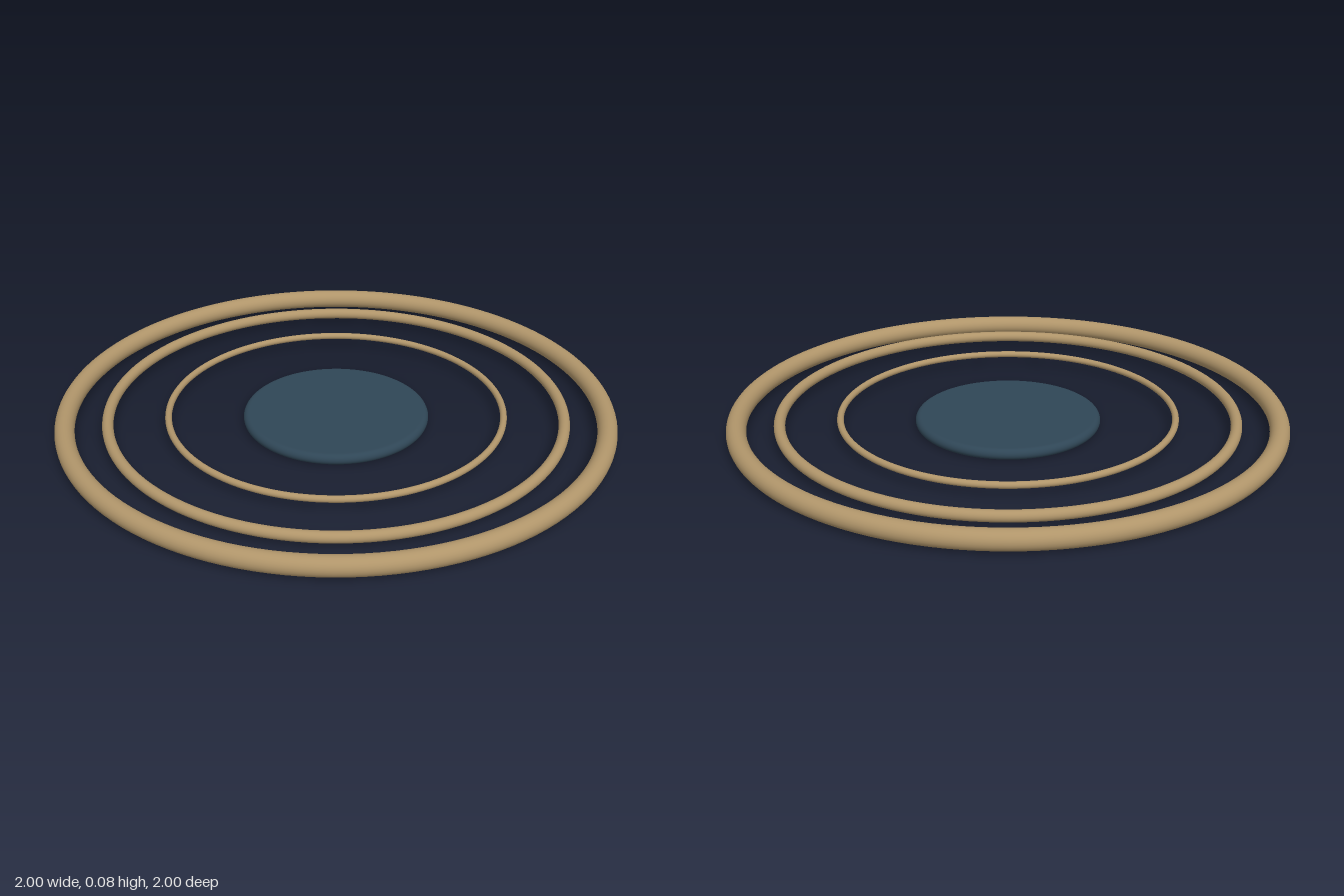
import * as THREE from 'three';

export function createModel() {
  const group = new THREE.Group();
  const brass = new THREE.MeshStandardMaterial({ color: 0xb0956a });
  brass.name = 'brass';
  const slate = new THREE.MeshStandardMaterial({ color: 0x2f4656 });
  slate.name = 'slate blue';

  // Concentric rings lying flat on a shared plane
  const rings = [
    ['outerRing', 0.965, 0.035],
    ['middleRing', 0.815, 0.02],
    ['innerRing', 0.601, 0.012],
  ];
  for (const [name, radius, tube] of rings) {
    const ring = new THREE.Mesh(new THREE.TorusGeometry(radius, tube, 24, 128), brass);
    ring.name = name;
    ring.rotation.x = Math.PI / 2;
    ring.position.y = 0.042;
    group.add(ring);
  }

  // Central disc with flat faces and a fully rounded rim
  const rim = 0.02, flat = 0.313;
  const profile = [new THREE.Vector2(0, 0), new THREE.Vector2(flat - 0.01, 0)];
  for (let i = 0; i <= 12; i++) {
    const a = -Math.PI / 2 + (i / 12) * Math.PI;
    profile.push(new THREE.Vector2(flat + rim * Math.cos(a), rim + rim * Math.sin(a)));
  }
  profile.push(new THREE.Vector2(flat - 0.01, 2 * rim), new THREE.Vector2(0, 2 * rim));
  const disc = new THREE.Mesh(new THREE.LatheGeometry(profile, 96), slate);
  disc.name = 'centreDisc';
  group.add(disc);

  return group;
}
